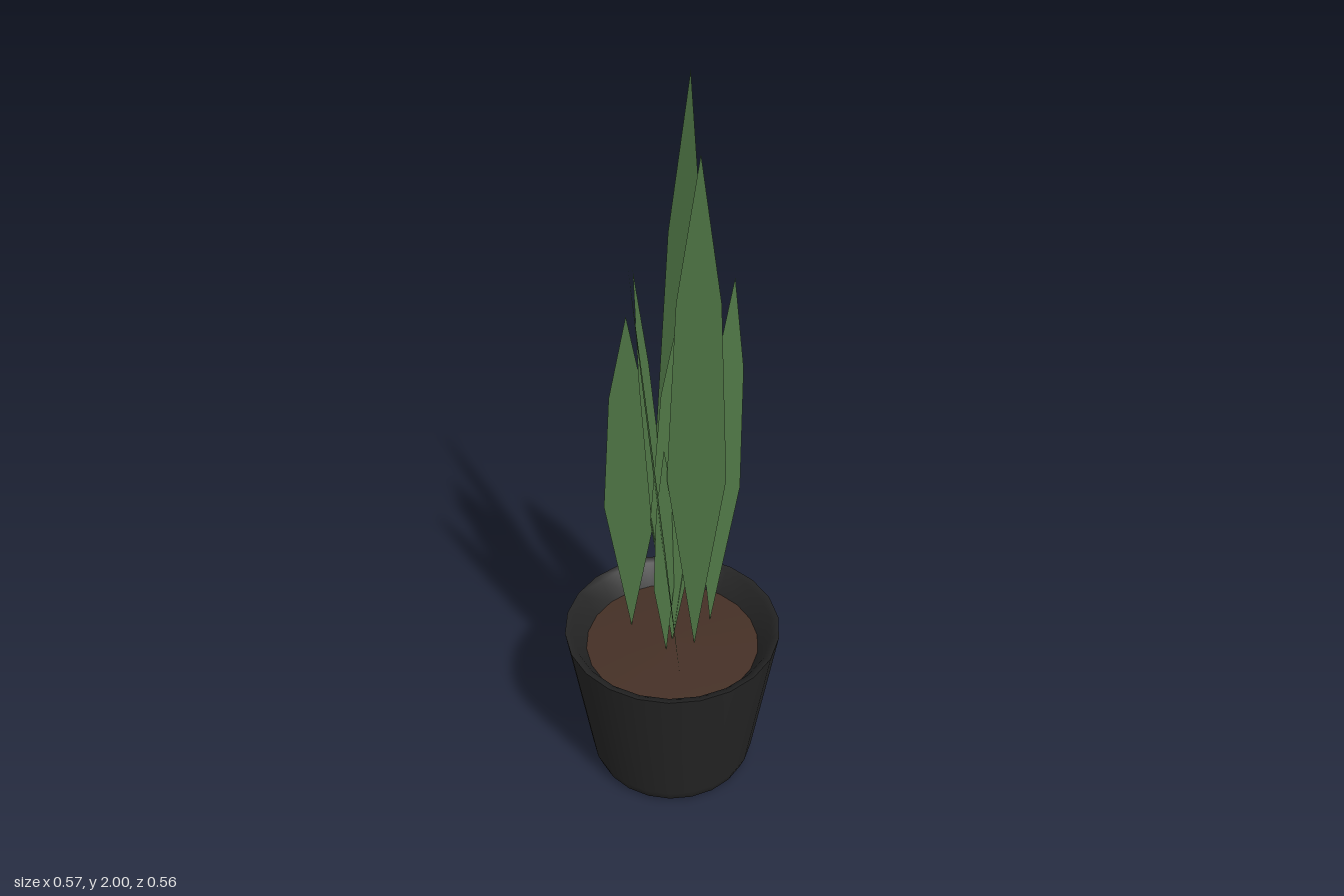
import * as THREE from 'three';

const potMaterial = new THREE.MeshStandardMaterial({ color: 0x242424 });
const soilMaterial = new THREE.MeshStandardMaterial({ color: 0x453026 });
const leafMaterial = new THREE.MeshStandardMaterial({ color: 0x527a48, side: THREE.DoubleSide });
potMaterial.name = 'black pot';
soilMaterial.name = 'brown soil';
leafMaterial.name = 'green leaf';

const SIDES = 22;

// Turned part with a corner on the x axis
function lathe(name, profile, material) {
  const points = profile.map(([r, y]) => new THREE.Vector2(r, y));
  const mesh = new THREE.Mesh(new THREE.LatheGeometry(points, SIDES, Math.PI / 2), material);
  mesh.name = name;
  return mesh;
}

// Flat pointed blade from base to tip; side is the half-width vector (x, z) at its widest row
function leaf(name, base, tip, side) {
  const b = new THREE.Vector3(...base);
  const t = new THREE.Vector3(...tip);
  const s = new THREE.Vector3(side[0], 0, side[1]);
  const row = (f, w) => b.clone().lerp(t, f).addScaledVector(s, w);
  const points = [b, row(0.4, 1), row(0.4, -1), row(0.75, 0.7), row(0.75, -0.7), t];
  const geometry = new THREE.BufferGeometry().setFromPoints(points);
  geometry.setIndex([0, 1, 2, 2, 1, 3, 2, 3, 4, 4, 3, 5]);
  geometry.computeVertexNormals();
  const mesh = new THREE.Mesh(geometry, leafMaterial);
  mesh.name = name;
  return mesh;
}

export function createModel() {
  const model = new THREE.Group();
  model.name = 'pottedPlant';

  // Pot: base, tapered wall and sloping inner lip
  const pot = new THREE.Group();
  pot.name = 'pot';
  pot.add(
    lathe('potBase', [[0, 0], [0.2, 0]], potMaterial),
    lathe('potWall', [[0.2, 0], [0.21, 0.008], [0.222, 0.04], [0.285, 0.455]], potMaterial),
    lathe('potLip', [[0.285, 0.455], [0.265, 0.45], [0.23, 0.395]], potMaterial),
  );
  model.add(pot);

  // Gently domed soil
  model.add(lathe('soil', [[0.23, 0.395], [0.13, 0.403], [0, 0.407]], soilMaterial));

  // Three central leaves share one root, the others stand around them
  const leaves = new THREE.Group();
  leaves.name = 'leaves';
  const specs = [
    ['centreLeafBack', [0, 0.4, 0], [0, 2, -0.057], [0.075, 0]],
    ['centreLeafRight', [0, 0.4, 0], [-0.08, 1.53, 0.045], [0.034, 0.06]],
    ['centreLeafLeft', [0, 0.4, 0], [0.077, 1.54, 0.045], [0.034, -0.06]],
    ['tallLeftLeaf', [0.052, 0.4, -0.03], [0.155, 1.91, 0.083], [0.054, -0.047]],
    ['frontLeaf', [0.1, 0.4, 0.08], [0.03, 1.63, 0.172], [0.053, 0.045]],
    ['backLeaf', [0.022, 0.4, -0.127], [0.09, 1.51, -0.113], [0.01, -0.07]],
    ['backRightLeaf', [-0.07, 0.4, -0.03], [-0.04, 1.54, -0.086], [0.06, 0.02]],
    ['rightLeaf', [-0.12, 0.4, 0.032], [-0.135, 1.37, 0.015], [0.062, -0.03]],
    ['shortLeaf', [0.015, 0.4, 0.04], [0.042, 1.1, 0.075], [0.012, 0.056]],
  ];
  for (const spec of specs) leaves.add(leaf(...spec));
  model.add(leaves);

  return model;
}
